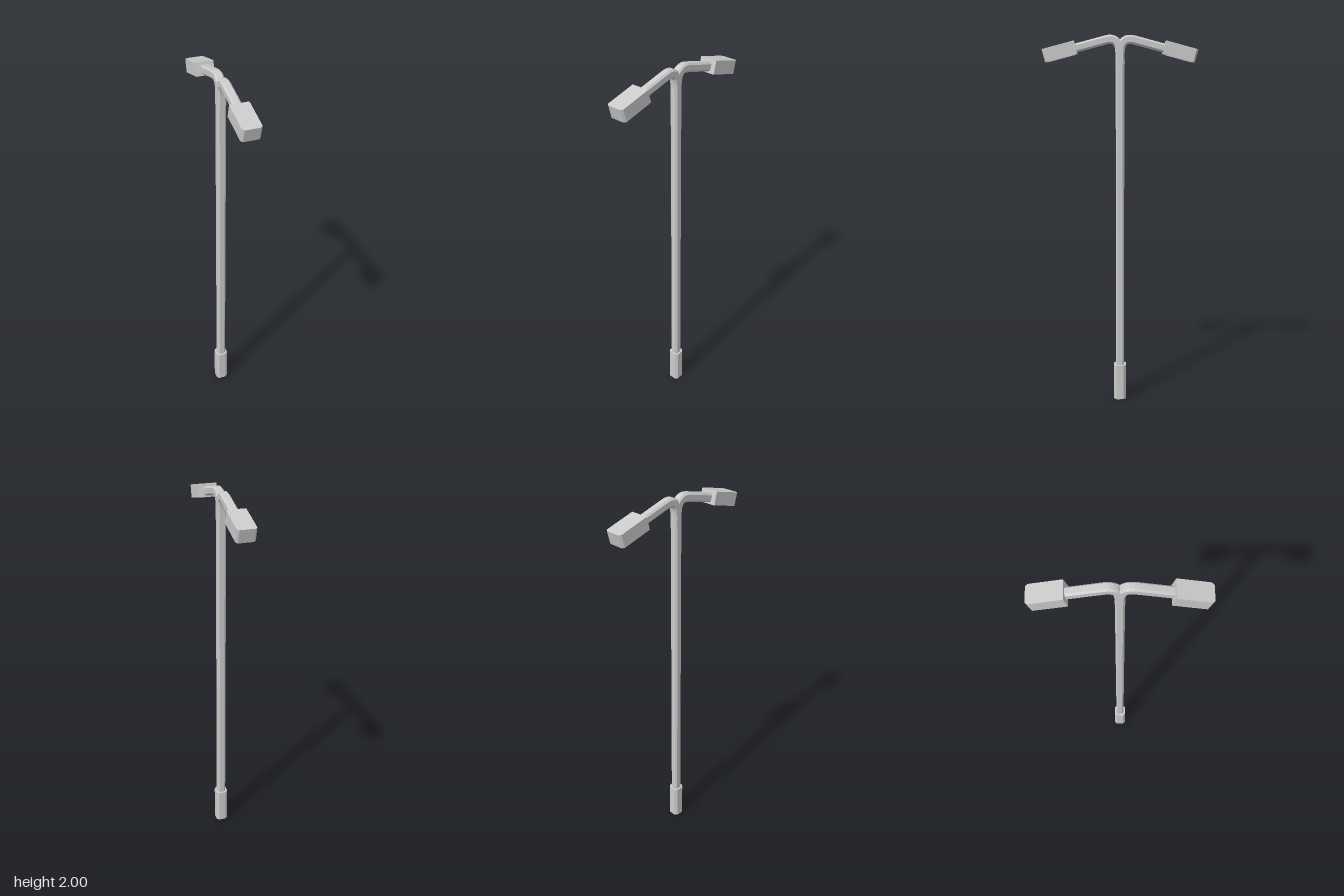
import * as THREE from 'three';

const grey = new THREE.MeshStandardMaterial({ color: 0xcccccc, flatShading: true });

// Square with cut corners, half width r
function section(r) {
  const c = r * 0.6;
  return new THREE.Shape([
    [r, -c], [r, c], [c, r], [-c, r], [-r, c], [-r, -c], [-c, -r], [c, -r],
  ].map(([x, y]) => new THREE.Vector2(x, y)));
}

function add(parent, name, geometry) {
  const mesh = new THREE.Mesh(geometry, grey);
  mesh.name = name;
  parent.add(mesh);
  return mesh;
}

// Upright bar between two heights
function post(r, y0, y1) {
  return new THREE.ExtrudeGeometry(section(r), { depth: y1 - y0, bevelEnabled: false })
    .rotateX(-Math.PI / 2).translate(0, y0, 0);
}

// Lamp housing outline seen from above, outer corners cut
function housingShape() {
  const w = 0.048, l = 0.086, c = 0.01;
  return new THREE.Shape([
    [-w, -l], [w, -l], [w, l - c], [w - c, l], [c - w, l], [-w, l - c],
  ].map(([x, y]) => new THREE.Vector2(x, y)));
}

// Slab hanging down from height top
function slab(shape, top, depth) {
  return new THREE.ExtrudeGeometry(shape, { depth, bevelEnabled: false })
    .rotateX(Math.PI / 2).translate(0, top, 0);
}

function createArm() {
  const arm = new THREE.Group();

  // Pipe that leaves the pole, bends over and slopes down
  const path = new THREE.CatmullRomCurve3([
    [0.002, 1.85], [0.003, 1.925], [0.012, 1.957], [0.031, 1.974],
    [0.055, 1.978], [0.08, 1.973], [0.16, 1.952], [0.24, 1.931],
  ].map(([z, y]) => new THREE.Vector3(0, y, z)));
  add(arm, 'armPipe', new THREE.ExtrudeGeometry(section(0.0225), {
    steps: 28, extrudePath: path, bevelEnabled: false,
  }));

  // Tilted lamp head with a recess underneath
  const head = new THREE.Group();
  head.name = 'lampHead';
  head.position.set(0, 1.915, 0.313);
  head.rotation.x = THREE.MathUtils.degToRad(14.8);
  add(head, 'housing', slab(housingShape(), 0.034, 0.054));
  const rim = housingShape();
  const x = 0.038, z = 0.074;
  rim.holes.push(new THREE.Path([
    [-x, -z], [-x, z], [x, z], [x, -z],
  ].map(([a, b]) => new THREE.Vector2(a, b))));
  add(head, 'lampRim', slab(rim, -0.02, 0.014));
  arm.add(head);
  return arm;
}

export function createModel() {
  const model = new THREE.Group();
  model.name = 'streetLamp';
  add(model, 'base', post(0.033, 0, 0.2));
  add(model, 'pole', post(0.0225, 0.2, 1.92));

  // Matching arms to the front and back
  ['frontArm', 'backArm'].forEach((name, i) => {
    const arm = createArm();
    arm.name = name;
    arm.rotation.y = i * Math.PI;
    model.add(arm);
  });
  return model;
}
